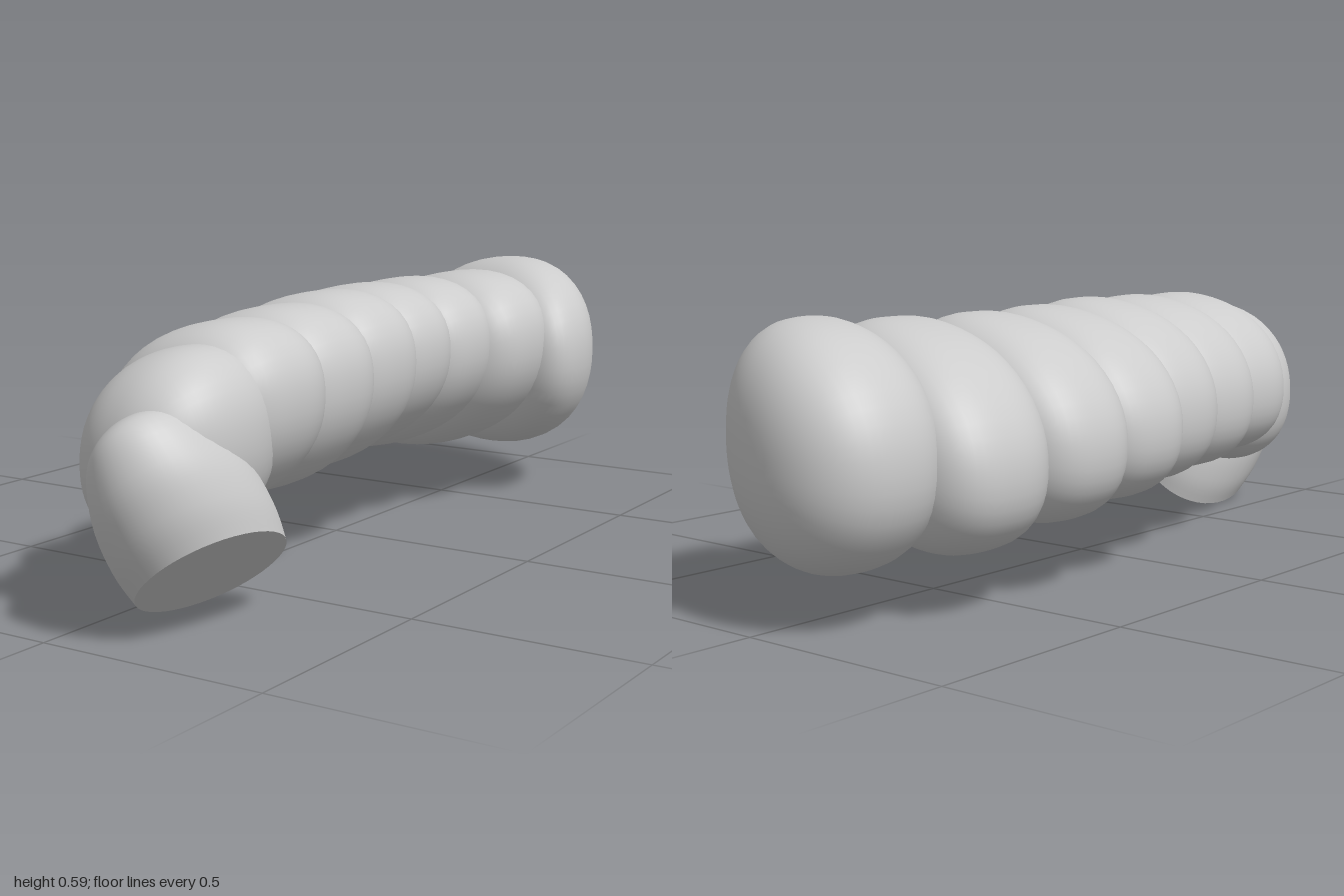
import * as THREE from 'three';
import { mergeVertices } from 'three/addons/utils/BufferGeometryUtils.js';

const skin = new THREE.MeshStandardMaterial({ color: 0xcccccc });
skin.name = 'grey skin';

const Q = 2.2; // squareness of the cross-section
const norm = (a, b, p) => Math.pow(Math.pow(Math.abs(a), p) + Math.pow(Math.abs(b), p), 1 / p);

// Rounded body ring: x range, y range, z centre, half length, slant, squareness along z,
// lean (y rises with x) and bend (sides swept forward)
function ring([x0, x1, y0, y1, cz, hz, slant, p, lean = 0.21, bend = 0]) {
  const geo = new THREE.SphereGeometry(1, 48, 32);
  geo.rotateX(Math.PI / 2);
  geo.deleteAttribute('uv');
  geo.deleteAttribute('normal');
  const pos = geo.attributes.position;
  const cx = (x0 + x1) / 2, rx = (x1 - x0) / 2, cy = (y0 + y1) / 2, h = (y1 - y0) / 2;
  const d = Q / (Q - 1);
  const ry = Math.pow(Math.pow(h, d) - Math.pow(lean * rx, d), 1 / d);
  for (let i = 0; i < pos.count; i++) {
    const x = pos.getX(i), y = pos.getY(i), z = pos.getZ(i);
    const r = Math.hypot(x, y);
    const k = 1 / norm(r, z, p);
    const s = r > 1e-6 ? (k * r) / norm(x, y, Q) : 0;
    const dx = x * s * rx;
    pos.setXYZ(i, cx + dx, cy + y * s * ry + lean * dx, cz + z * k * hz + slant * dx + bend * dx * dx);
  }
  const smooth = mergeVertices(geo, 1e-5);
  smooth.computeVertexNormals();
  return smooth;
}

export function createModel() {
  const model = new THREE.Group();
  model.name = 'segmentedGrub';
  const add = (name, geo, parent = model) => {
    const mesh = new THREE.Mesh(geo, skin);
    mesh.name = name;
    parent.add(mesh);
  };

  // Body, from the blunt tail to the shoulder
  add('tailLobe', ring([-0.263, 0.335, 0.095, 0.592, -0.77, 0.205, 0.36, 2.4, 0.08, 0.55]));
  [
    [-0.325, 0.28, 0.112, 0.577, -0.53, 0.2, 0.22, 2.7],
    [-0.337, 0.228, 0.142, 0.577, -0.305, 0.18, 0.11, 2.7],
    [-0.324, 0.222, 0.16, 0.58, -0.1, 0.175, 0.06, 2.7],
    [-0.256, 0.245, 0.163, 0.585, 0.115, 0.18, 0.01, 2.7],
    [-0.206, 0.27, 0.163, 0.578, 0.34, 0.185, 0.01, 2.7],
    [-0.165, 0.29, 0.175, 0.572, 0.55, 0.185, 0.05, 2.7],
  ].forEach((s, i) => add('bodySegment' + (i + 1), ring(s)));
  add('shoulder', ring([-0.1, 0.285, 0.13, 0.538, 0.7, 0.22, 0.2, 2.2]));

  // Head stump, turned down and to the left, with a flat cut end
  const head = new THREE.Group();
  head.name = 'head';
  const up = new THREE.Vector3(-0.61, 0.78, -0.13).normalize();
  const side = new THREE.Vector3(0.79, 0.61, 0);
  side.addScaledVector(up, -side.dot(up)).normalize();
  const depth = new THREE.Vector3().crossVectors(side, up);
  head.quaternion.setFromRotationMatrix(new THREE.Matrix4().makeBasis(side, up, depth));
  head.position.set(0.205, 0.11, 0.75);
  model.add(head);

  const curve = new THREE.SplineCurve([
    [0.165, 0], [0.175, 0.06], [0.168, 0.14], [0.13, 0.225], [0.07, 0.268], [0, 0.28],
  ].map(([r, y]) => new THREE.Vector2(r, y)));
  const profile = curve.getPoints(24);
  profile[24].x = 0;
  // The head leans forward and outward above the cut
  const shear = new THREE.Matrix4().set(1, 0.38, 0, 0, 0, 1, 0, 0, 0.25, 0.5, 1.13, 0, 0, 0, 0, 1);
  add('headDome', new THREE.LatheGeometry(profile, 48).applyMatrix4(shear), head);
  add('cutEnd', new THREE.CircleGeometry(0.165, 48).rotateX(Math.PI / 2).applyMatrix4(shear), head);

  return model;
}
